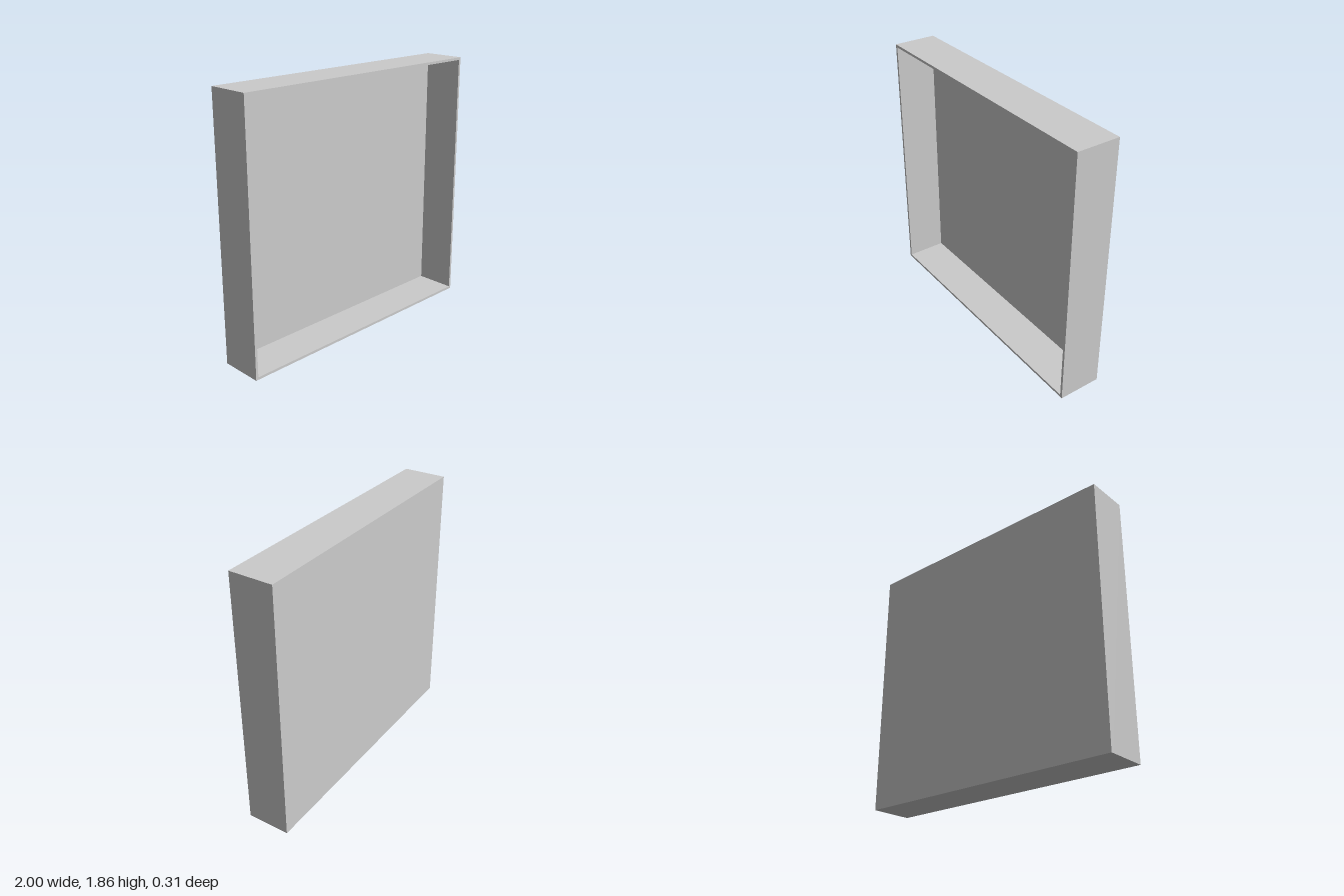
import * as THREE from 'three';

const W = 2, H = 1.86, D = 0.31, T = 0.018;

// Rectangle centred on x, raised to stand on y = 0, inset by t
function rectangle(path, t) {
  const x = W / 2 - t;
  return path.moveTo(-x, t).lineTo(x, t).lineTo(x, H - t).lineTo(-x, H - t).closePath();
}

export function createModel() {
  const group = new THREE.Group();
  group.name = 'openBox';
  const material = new THREE.MeshStandardMaterial({ color: 0xcccccc });

  // Thin back panel closing the tray
  const back = new THREE.Mesh(new THREE.BoxGeometry(W, H, T), material);
  back.name = 'backPanel';
  back.position.set(0, H / 2, -D / 2 + T / 2);
  group.add(back);

  // Four side walls, open towards the front
  const outline = rectangle(new THREE.Shape(), 0);
  outline.holes.push(rectangle(new THREE.Path(), T));
  const walls = new THREE.Mesh(
    new THREE.ExtrudeGeometry(outline, { depth: D - T, bevelEnabled: false }), material);
  walls.name = 'sideWalls';
  walls.position.z = -D / 2 + T;
  group.add(walls);

  return group;
}
